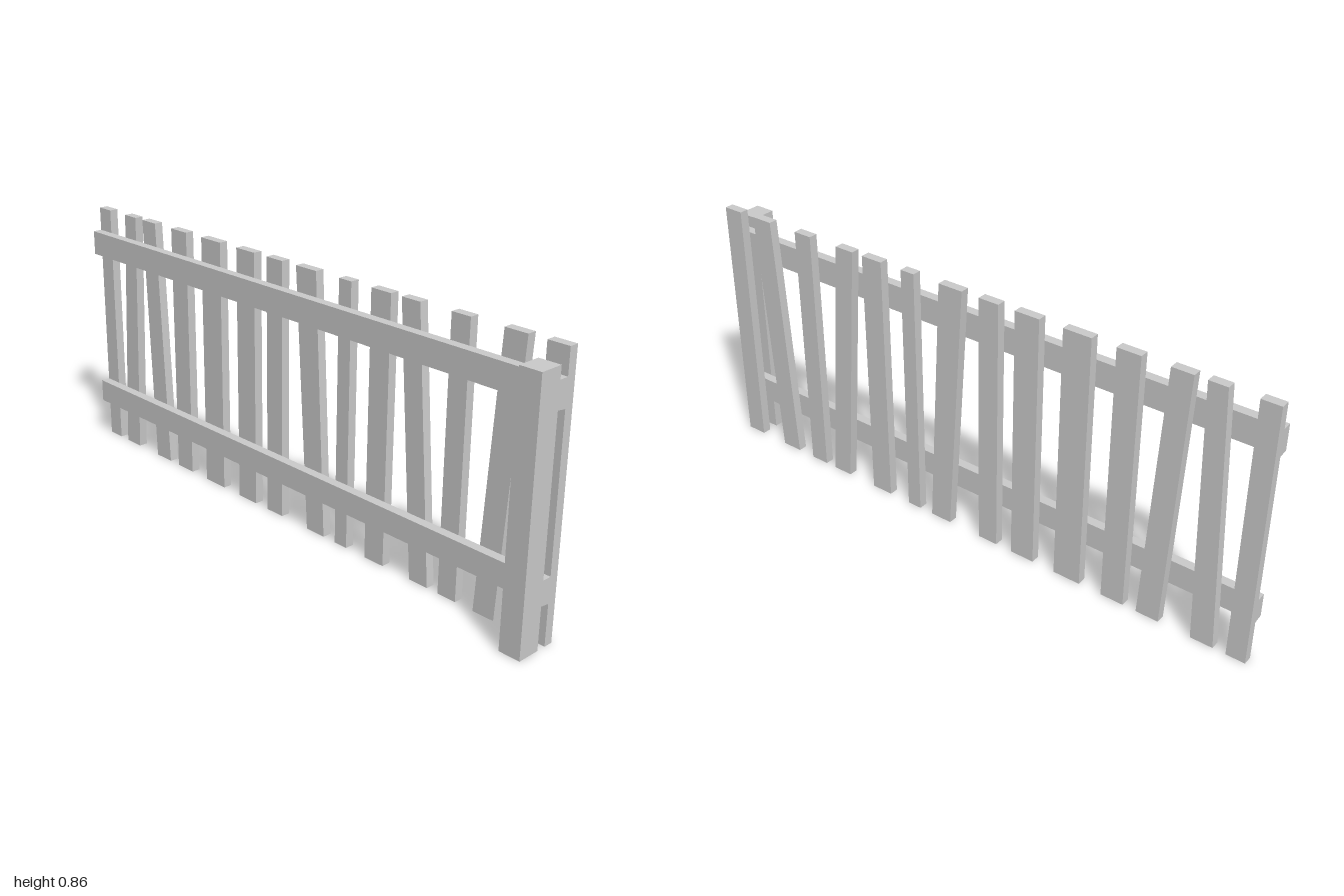
import * as THREE from 'three';

const material = new THREE.MeshStandardMaterial({ color: 0xcccccc, flatShading: true });

function prism(points, depth) {
  const shape = new THREE.Shape(points.map(([x, y]) => new THREE.Vector2(x, y)));
  return new THREE.ExtrudeGeometry(shape, { depth, bevelEnabled: false });
}

export function createModel() {
  const fence = new THREE.Group();
  fence.name = 'picketFence';
  const add = (name, geometry) => {
    const mesh = new THREE.Mesh(geometry, material);
    mesh.name = name;
    fence.add(mesh);
    return mesh;
  };

  // End post, standing behind the rails
  add('post', new THREE.BoxGeometry(0.077, 0.814, 0.07)).position.set(-0.0315, 0.407, 0.965);

  // Two long rails with slightly slanted undersides
  const rails = [['lowerRail', 0.132, 0.214], ['upperRail', 0.689, 0.775]];
  for (const [name, bottom, top] of rails) {
    const profile = [[0.007, bottom + 0.004], [0.038, bottom], [0.038, top], [0.007, top]];
    add(name, prism(profile, 2)).position.z = -1;
  }

  // Pickets: z centre and width at the foot, then at the top
  const height = 0.855;
  const pickets = [
    [0.965, 0.07, 0.965, 0.07],
    [0.787, 0.074, 0.834, 0.076],
    [0.652, 0.066, 0.652, 0.066],
    [0.543, 0.07, 0.474, 0.068],
    [0.362, 0.076, 0.362, 0.076],
    [0.22, 0.05, 0.22, 0.05],
    [0.107, 0.076, 0.056, 0.086],
    [-0.084, 0.07, -0.084, 0.07],
    [-0.219, 0.084, -0.219, 0.084],
    [-0.388, 0.094, -0.388, 0.094],
    [-0.553, 0.078, -0.553, 0.078],
    [-0.676, 0.076, -0.716, 0.07],
    [-0.859, 0.074, -0.82, 0.06],
    [-0.969, 0.062, -0.969, 0.062],
  ];
  pickets.forEach(([footZ, footWidth, topZ, topWidth], i) => {
    const geometry = prism([
      [-footZ - footWidth / 2, 0], [-footZ + footWidth / 2, 0],
      [-topZ + topWidth / 2, height], [-topZ - topWidth / 2, height],
    ], 0.03);
    geometry.rotateY(Math.PI / 2);
    add(`picket${i + 1}`, geometry).position.x = 0.038;
  });

  return fence;
}
